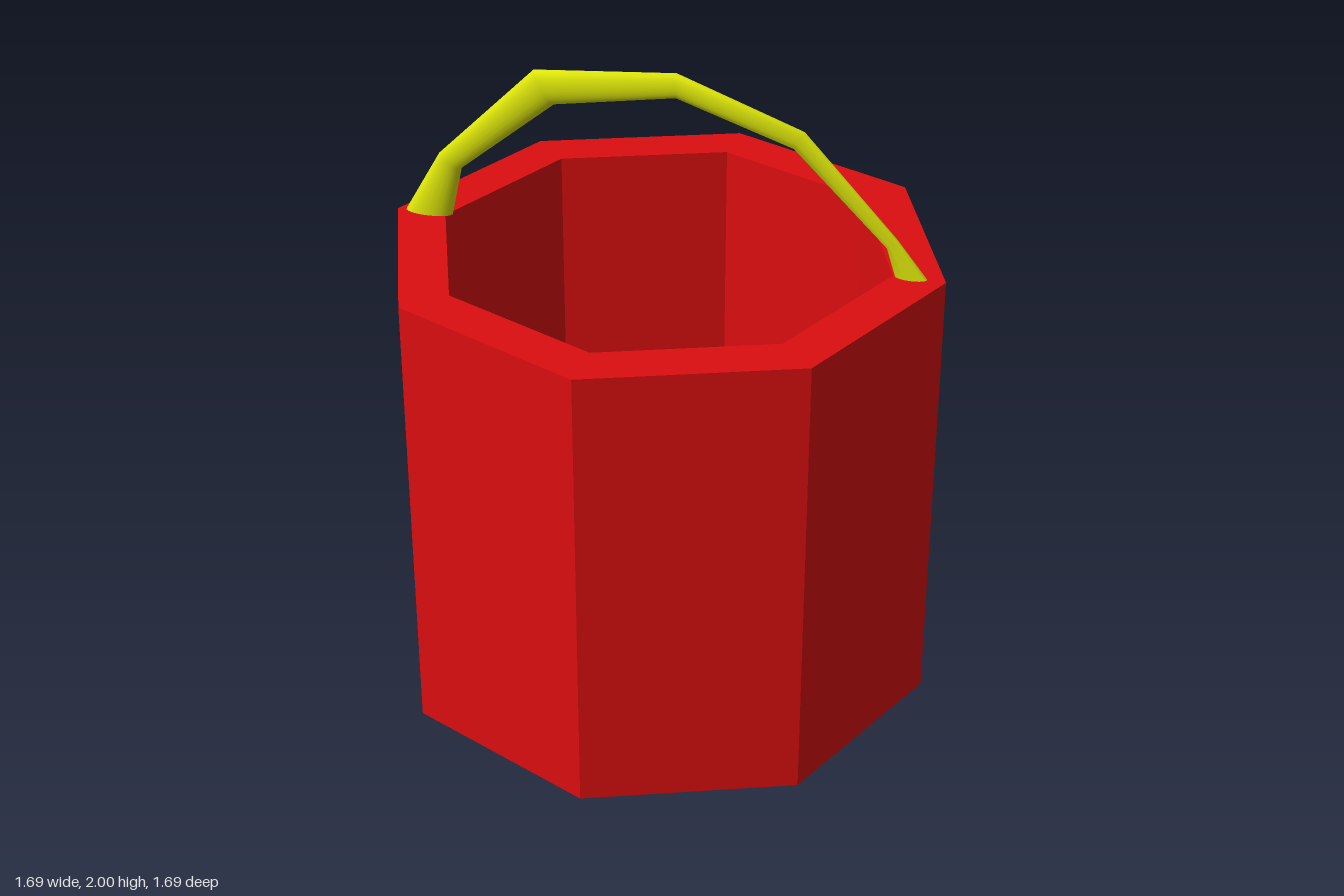
import * as THREE from 'three';
import { toCreasedNormals } from 'three/addons/utils/BufferGeometryUtils.js';

const HEIGHT = 1.42, OUTER = 0.845, INNER = 0.69, FLOOR = 0.15;

// Oval tube lofted through stations: [outer x, outer y, inner x, inner y, centre z, half depth]
function loftOval(stations, sides) {
  const pos = [], index = [];
  for (const [ox, oy, ix, iy, z, depth] of stations) {
    for (let k = 0; k < sides; k++) {
      const a = (k / sides) * Math.PI * 2, c = Math.cos(a) / 2;
      pos.push((ox + ix) / 2 + (ox - ix) * c, (oy + iy) / 2 + (oy - iy) * c, z + depth * Math.sin(a));
    }
  }
  const last = (stations.length - 1) * sides;
  for (let s = 0; s < last; s += sides) {
    for (let k = 0; k < sides; k++) {
      const a = s + k, b = s + (k + 1) % sides;
      index.push(a, b, a + sides, b, b + sides, a + sides);
    }
  }
  // end caps
  for (let k = 1; k < sides - 1; k++) {
    index.push(0, k + 1, k, last, last + k, last + k + 1);
  }
  const geometry = new THREE.BufferGeometry();
  geometry.setAttribute('position', new THREE.Float32BufferAttribute(pos, 3));
  geometry.setIndex(index);
  return toCreasedNormals(geometry, 0.6);
}

export function createModel() {
  const model = new THREE.Group();
  model.name = 'bucket';

  // Eight-sided pail with a thick wall and floor
  const profile = [[0, 0], [OUTER, 0], [OUTER, HEIGHT], [INNER, HEIGHT], [INNER, FLOOR], [0, FLOOR]]
    .map(([x, y]) => new THREE.Vector2(x, y));
  const pail = new THREE.Mesh(
    new THREE.LatheGeometry(profile, 8),
    new THREE.MeshStandardMaterial({ color: 0xdd0e10, flatShading: true })
  );
  pail.name = 'pail';
  model.add(pail);

  // Uneven arched handle, thicker at its right foot and leaning forward
  const handle = new THREE.Mesh(
    loftOval([
      [-0.82, 1.42, -0.67, 1.42, -0.01, 0.03],
      [-0.695, 1.63, -0.625, 1.59, 0.013, 0.024],
      [-0.37, 1.955, -0.31, 1.855, 0.065, 0.024],
      [0.06, 2.0, 0.06, 1.925, 0.077, 0.018],
      [0.43, 1.86, 0.4, 1.805, 0.058, 0.014],
      [0.7, 1.54, 0.67, 1.51, 0.01, 0.011],
      [0.79, 1.42, 0.695, 1.42, 0, 0.02],
    ], 20),
    new THREE.MeshStandardMaterial({ color: 0xdde60a })
  );
  handle.name = 'handle';
  model.add(handle);

  return model;
}
